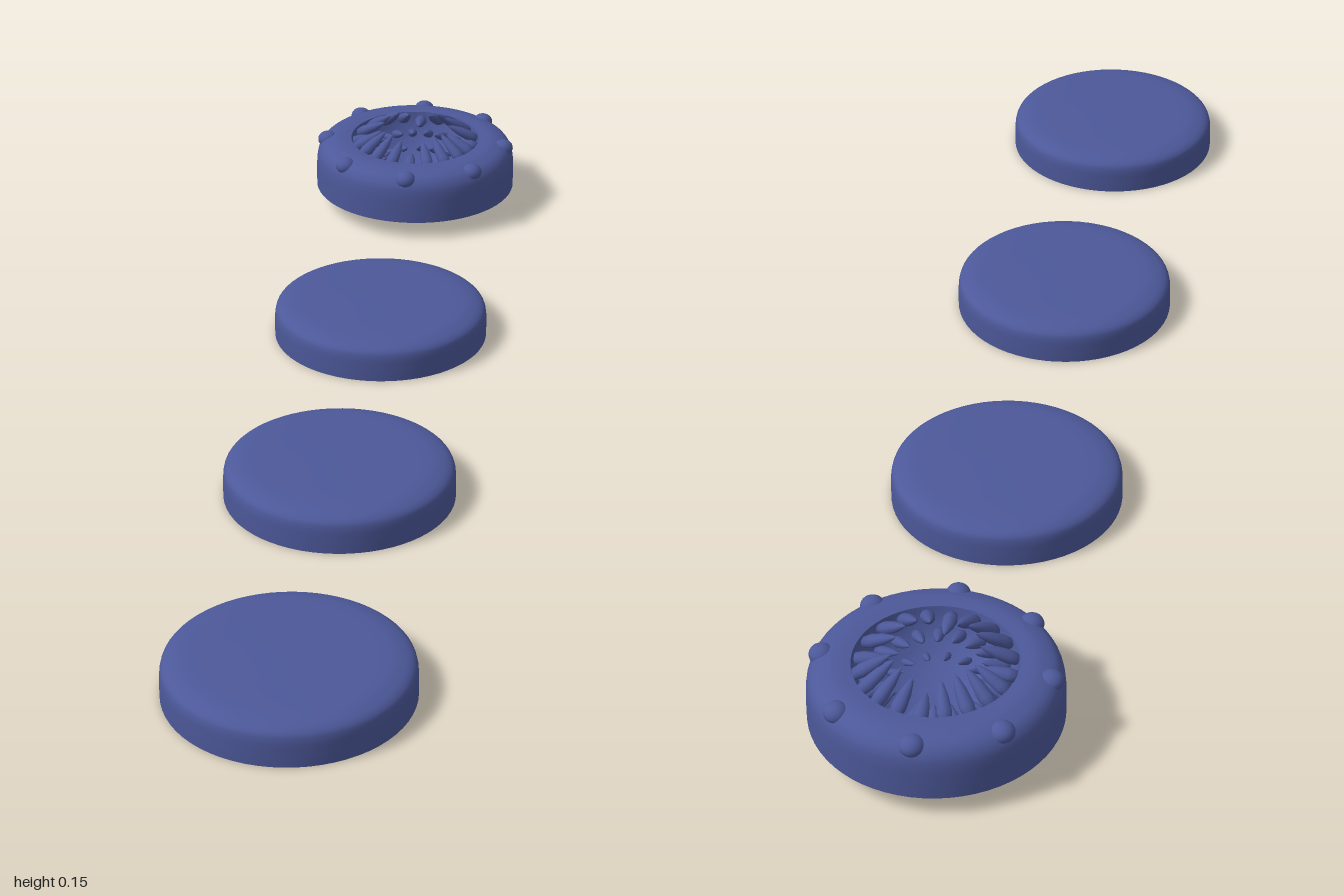
import * as THREE from 'three';

const material = new THREE.MeshStandardMaterial({ color: 0x4c5899, side: THREE.DoubleSide });

function add(parent, name, geometry) {
  const mesh = new THREE.Mesh(geometry, material);
  mesh.name = name;
  parent.add(mesh);
  return mesh;
}

// Smooth revolved shell from a few [radius, height] points
function shell(points) {
  const curve = new THREE.SplineCurve(points.map(([r, y]) => new THREE.Vector2(r, y)));
  return new THREE.LatheGeometry(curve.getPoints(48), 64);
}

// Pointed, slightly flattened tooth from [radius, height] base to tip, at an angle round the axis
function tooth(parent, geometry, angle, base, tip, width) {
  const at = ([r, y]) => new THREE.Vector3(r * Math.cos(angle), y, r * Math.sin(angle));
  const a = at(base), b = at(tip);
  const dir = b.clone().sub(a);
  const length = dir.length();
  const up = dir.normalize();
  const side = new THREE.Vector3(-Math.sin(angle), 0, Math.cos(angle));
  const mesh = add(parent, 'tooth', geometry);
  mesh.quaternion.setFromRotationMatrix(
    new THREE.Matrix4().makeBasis(side, up, side.clone().cross(up)));
  mesh.scale.set(width, length, width * 0.9);
  mesh.position.copy(a);
}

export function createModel() {
  const root = new THREE.Group();
  root.name = 'capSet';

  // Three plain caps, open underneath
  const capGeometry = shell([
    [0.18, 0], [0.18, 0.02], [0.179, 0.041], [0.174, 0.052],
    [0.16, 0.059], [0.135, 0.063], [0.07, 0.065], [0, 0.066],
  ]);
  [0.82, 0.275, -0.27].forEach((z) => {
    add(root, 'plainCap', capGeometry).position.z = z;
  });

  // Ornate cap: outer wall rolling over a rim
  const ornate = new THREE.Group();
  ornate.name = 'ornateCap';
  ornate.position.z = -0.818;
  root.add(ornate);
  add(ornate, 'outerWall', shell([
    [0.182, 0.032], [0.182, 0.06], [0.181, 0.085], [0.177, 0.101],
    [0.167, 0.113], [0.15, 0.12], [0.135, 0.122], [0.118, 0.121],
  ]));

  // Sunken bowl
  add(ornate, 'bowl', shell([
    [0, 0.037], [0.04, 0.041], [0.075, 0.055], [0.1, 0.077], [0.113, 0.1], [0.118, 0.121],
  ]));

  // Eight studs round the shoulder
  const studGeometry = new THREE.SphereGeometry(0.018, 20, 14);
  for (let i = 0; i < 8; i++) {
    const a = (i * Math.PI) / 4;
    const stud = add(ornate, 'stud', studGeometry);
    stud.position.set(0.163 * Math.cos(a), 0.109, 0.163 * Math.sin(a));
    stud.scale.y = 0.83;
  }

  // Unit tooth with its base at the origin, tapering to a point at y = 1
  const toothGeometry = new THREE.LatheGeometry(
    [[0, 0], [0.8, 0.03], [1, 0.25], [0.8, 0.6], [0.4, 0.87], [0, 1]]
      .map(([r, y]) => new THREE.Vector2(r, y)), 10);

  // Tall teeth leaning inwards from the rim, lower along the main axes
  const teeth = new THREE.Group();
  teeth.name = 'teeth';
  ornate.add(teeth);
  for (let i = 0; i < 20; i++) {
    const a = (i * Math.PI) / 10;
    const lift = Math.min(1, Math.abs(Math.sin(2 * a)) * 1.3);
    tooth(teeth, toothGeometry, a, [0.116, 0.108], [0.062, 0.116 + 0.03 * lift], 0.011);
  }

  // Two rows of smaller teeth down the bowl
  for (let i = 0; i < 20; i++) {
    const a = ((i + 0.5) * Math.PI) / 10;
    tooth(teeth, toothGeometry, a, [0.108, 0.083], [0.066, 0.1], 0.009);
  }
  for (let i = 0; i < 16; i++) {
    const a = (i * Math.PI) / 8;
    tooth(teeth, toothGeometry, a, [0.085, 0.06], [0.055, 0.075], 0.006);
  }

  return root;
}
